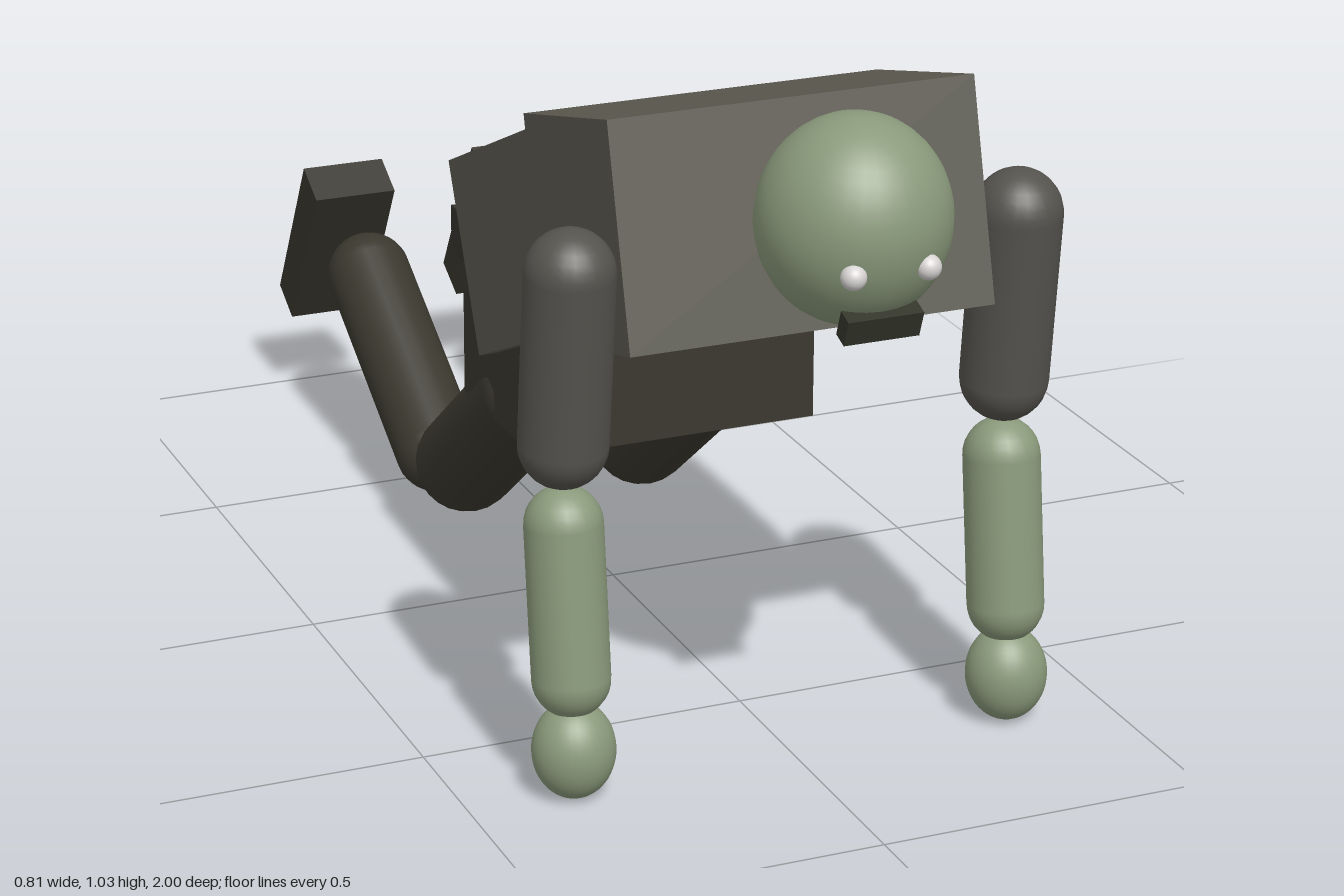
import * as THREE from 'three';

export function createModel() {
  const model = new THREE.Group();
  model.name = 'crawlingFigure';

  const mat = (name, color) => {
    const m = new THREE.MeshStandardMaterial({ color });
    m.name = name;
    return m;
  };
  const skin = mat('paleGreenSkin', 0x8a9a7b);
  const shirt = mat('greyShirt', 0x5c5a50);
  const sleeve = mat('darkGreySleeve', 0x55534e);
  const trousers = mat('darkTrousers', 0x3a382e);
  const belt = mat('darkBelt', 0x35342f);
  const shoe = mat('darkShoe', 0x38352d);
  const eyeWhite = mat('eyeWhite', 0xd8d4d4);
  const mouthDark = mat('mouthDark', 0x33352a);

  const add = (name, geometry, material, x, y, z, tilt = 0) => {
    const mesh = new THREE.Mesh(geometry, material);
    mesh.name = name;
    mesh.position.set(x, y, z);
    mesh.rotation.x = tilt;
    model.add(mesh);
    return mesh;
  };
  const box = (name, material, w, h, d, y, z, tilt = 0, x = 0) =>
    add(name, new THREE.BoxGeometry(w, h, d), material, x, y, z, tilt);
  const ball = (name, material, rx, ry, rz, x, y, z, tilt = 0) =>
    add(name, new THREE.SphereGeometry(1, 32, 24).scale(rx, ry, rz), material, x, y, z, tilt);
  // Rounded limb between two [y, z] joints
  const limb = (name, material, r, x, [y0, z0], [y1, z1]) => {
    const length = Math.hypot(y1 - y0, z1 - z0);
    return add(name, new THREE.CapsuleGeometry(r, length, 8, 24), material,
      x, (y0 + y1) / 2, (z0 + z1) / 2, Math.atan2(z0 - z1, y0 - y1));
  };

  // Torso
  box('chest', shirt, 0.556, 0.327, 0.327, 0.793, 0.545, -0.263);
  box('abdomen', shirt, 0.506, 0.3, 0.423, 0.666, 0.214, -0.427);
  box('pelvis', trousers, 0.456, 0.24, 0.3, 0.453, 0.1);
  box('belt', belt, 0.484, 0.072, 0.326, 0.599, 0.1);

  // Neck and head
  add('neck', new THREE.CylinderGeometry(0.055, 0.06, 0.13, 24), skin, 0, 0.865, 0.745, 1.25);
  ball('head', skin, 0.136, 0.149, 0.137, 0, 0.881, 0.861, 0.2);
  box('mouth', mouthDark, 0.112, 0.04, 0.026, 0.76, 0.951, 0.35);

  for (const [side, s] of [['left', 1], ['right', -1]]) {
    ball(side + 'Eye', eyeWhite, 0.018, 0.018, 0.018, s * 0.055, 0.843, 0.981);

    // Arm reaching down to the ground
    limb(side + 'UpperArm', sleeve, 0.065, s * 0.342, [0.788, 0.684], [0.528, 0.657]);
    limb(side + 'Forearm', skin, 0.057, s * 0.342, [0.406, 0.657], [0.182, 0.684]);
    ball(side + 'Hand', skin, 0.061, 0.072, 0.058, s * 0.342, 0.075, 0.693, -0.1);

    // Leg kneeling with the foot raised behind
    limb(side + 'Thigh', trousers, 0.083, s * 0.152, [0.358, 0.05], [0.128, -0.25]);
    limb(side + 'Shin', trousers, 0.07, s * 0.152, [0.094, -0.39], [0.29, -0.72]);
    box(side + 'Foot', shoe, 0.14, 0.302, 0.074, 0.297, -0.891, 0.523, s * 0.152);
  }
  return model;
}
